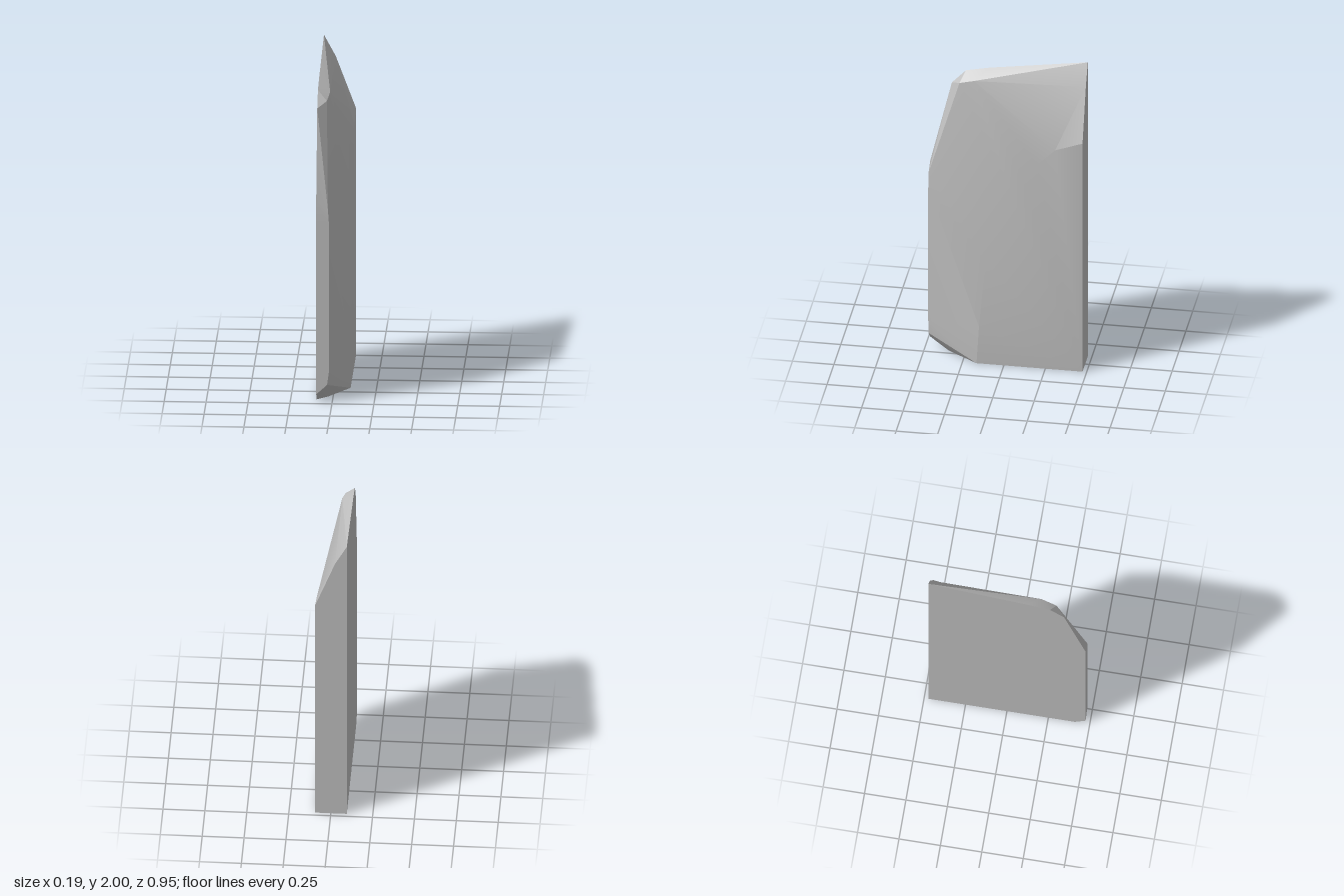
import * as THREE from 'three';
import { toCreasedNormals } from 'three/addons/utils/BufferGeometryUtils.js';

// Each column crosses the bevelled rim: outer edge [z, y], ridge [x, y, z], inner edge [z, y]
const columns = [
  [[-0.475, 2.0], [-0.025, 1.87, -0.475], [-0.475, 1.55]],
  [[-0.475, 2.0], [-0.025, 1.85, 0.2], [-0.31, 1.49]],
  [[0.12, 1.91], [-0.025, 1.85, 0.2], [-0.2, 1.38]],
  [[0.26, 1.88], [-0.025, 1.85, 0.2], [-0.11, 1.28]],
  [[0.345, 1.79], [-0.04, 1.82, 0.29], [-0.04, 1.19]],
  [[0.475, 1.25], [-0.025, 1.2, 0.475], [0.07, 0.95]],
  [[0.475, 1.1], [-0.018, 1.1, 0.475], [0.11, 0.7]],
  [[0.475, 0.2], [-0.018, 0.2, 0.475], [0.15, 0.25]],
  [[0.475, 0.05], [-0.03, 0.11, 0.475], [0.165, 0]],
  [[0.41, 0], [-0.03, 0, 0.35], [0.165, 0]],
  [[-0.475, 0], [0, 0, -0.475], [-0.475, 0]], // lower back corner closes the base and back
];
const HALF = 0.095;

function panelGeometry() {
  const rings = columns.map(([o, m, i]) => [
    new THREE.Vector3(-HALF, o[1], o[0]),
    new THREE.Vector3(...m),
    new THREE.Vector3(HALF, i[1], i[0]),
  ]);
  const positions = [];
  const tri = (a, b, c) => {
    const area = b.clone().sub(a).cross(c.clone().sub(a)).length();
    if (area > 1e-7) for (const p of [a, b, c]) positions.push(p.x, p.y, p.z);
  };
  const n = rings.length;
  const corner = rings[n - 1];
  for (let k = 0; k < n; k++) {
    const a = rings[k], b = rings[(k + 1) % n];
    // rim, base and back
    for (let j = 0; j < 2; j++) {
      tri(a[j], b[j], b[j + 1]);
      tri(a[j], b[j + 1], a[j + 1]);
    }
    // flat side faces, fanned from the lower back corner
    tri(corner[0], b[0], a[0]);
    tri(corner[2], a[2], b[2]);
  }
  const geometry = new THREE.BufferGeometry();
  geometry.setAttribute('position', new THREE.Float32BufferAttribute(positions, 3));
  return toCreasedNormals(geometry, THREE.MathUtils.degToRad(18));
}

export function createModel() {
  const group = new THREE.Group();
  group.name = 'bevelledPanel';
  const grey = new THREE.MeshStandardMaterial({ color: 0xc0c0c0 });
  grey.name = 'lightGrey';
  const panel = new THREE.Mesh(panelGeometry(), grey);
  panel.name = 'panel';
  group.add(panel);
  return group;
}
